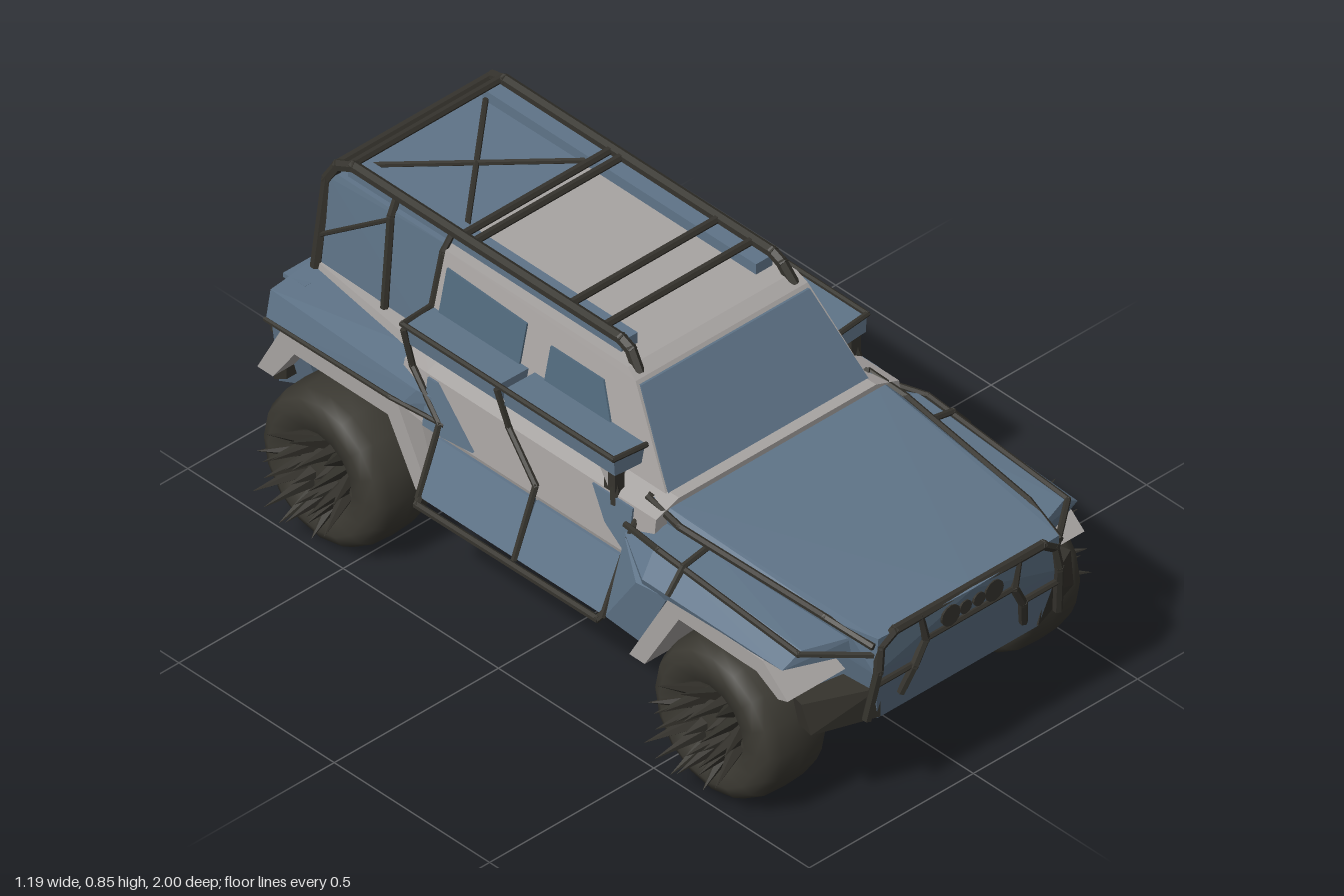
import * as THREE from 'three';
import { ConvexGeometry } from 'three/addons/geometries/ConvexGeometry.js';
import { mergeGeometries } from 'three/addons/utils/BufferGeometryUtils.js';

const mat = (color, flatShading = true) => new THREE.MeshStandardMaterial({ color, flatShading });
const blue = mat(0x5f7488), glass = mat(0x50687b), grey = mat(0xa8a4a2), dark = mat(0x35332d), under = mat(0x3c4a56);
const rubber = mat(0x3b3932, false);
const V = (p) => new THREE.Vector3(...p);
const flip = ([x, y, z]) => [-x, y, z];

export function createModel() {
  const g = new THREE.Group();
  const add = (name, geo, m) => {
    const mesh = new THREE.Mesh(geo, m);
    mesh.name = name;
    g.add(mesh);
  };
  // Convex panel; sym: one hull spanning both sides, pair: one hull on each side
  const hull = (name, pts, m) => add(name, new ConvexGeometry(pts.map(V)), m);
  const sym = (name, pts, m) => hull(name, [...pts, ...pts.map(flip)], m);
  const pair = (name, pts, m) => {
    hull(name + 'Left', pts, m);
    hull(name + 'Right', pts.map(flip), m);
  };
  const box = (name, w, h, d, x, y, z, m) => add(name, new THREE.BoxGeometry(w, h, d).translate(x, y, z), m);
  // Straight rod between two points, optionally tapered
  const rod = (a, b, r0, r1 = r0, n = 6) => {
    const A = V(a), B = V(b), d = B.clone().sub(A), len = d.length();
    const q = new THREE.Quaternion().setFromUnitVectors(new THREE.Vector3(0, 1, 0), d.normalize());
    const mid = A.add(B).multiplyScalar(0.5);
    return new THREE.CylinderGeometry(r1, r0, len + r1, n).applyQuaternion(q).translate(mid.x, mid.y, mid.z);
  };
  const pipe = (name, pts, r = 0.009) =>
    add(name, mergeGeometries(pts.slice(1).map((p, i) => rod(pts[i], p, r))), dark);
  const pipes = (name, pts, r) => {
    pipe(name + 'Left', pts, r);
    pipe(name + 'Right', pts.map(flip), r);
  };
  // Half width of the cabin and doors at a given height
  const profile = [[0.27, 0.452], [0.41, 0.388], [0.55, 0.37], [0.57, 0.309], [0.80, 0.257]];
  const sideX = (y) => {
    let i = 0;
    while (i < profile.length - 2 && y > profile[i + 1][0]) i++;
    const [y0, x0] = profile[i], [y1, x1] = profile[i + 1];
    return x0 + (x1 - x0) * (y - y0) / (y1 - y0);
  };
  // Thin plate lying on the side wall, from [z, y] corners
  const plate = (name, zy, m) =>
    pair(name, zy.flatMap(([z, y]) => [[sideX(y) + 0.005, y, z], [sideX(y) - 0.01, y, z]]), m);
  const seam = (name, zy) => pipes(name, zy.map(([z, y, out = 0.004]) => [sideX(y) + out, y, z]), 0.008);

  // Hood, nose and chassis
  sym('hood', [[0.275, 0.51, 0.985], [0.28, 0.41, 0.98], [0.245, 0.255, 0.95], [0.30, 0.515, 0.9], [0.34, 0.55, 0.38],
    [0.33, 0.565, 0.32], [0.33, 0.46, 0.32], [0.26, 0.24, 0.4], [0, 0.515, 1.0]], blue);
  sym('skidPlate', [[0.23, 0.25, 0.92], [0.23, 0.213, 0.42], [0.32, 0.22, 0.3], [0.23, 0.28, 0.92], [0.32, 0.27, 0.3]], grey);
  sym('floor', [[0.30, 0.222, 0.32], [0.28, 0.24, -0.8], [0.30, 0.3, 0.32], [0.28, 0.45, -0.8]], under);

  // Passenger body and cabin
  sym('doors', [0.37, -0.37].flatMap((z) =>
    [[0.33, 0.225 + (0.37 - z) * 0.03, z], [0.35, 0.27, z], [0.385, 0.42, z], [0.37, 0.55, z], [0.30, 0.575, z]]), grey);
  sym('rearQuarter', [[0.385, 0.42, -0.36], [0.37, 0.55, -0.36], [0.30, 0.575, -0.36],
    [0.375, 0.42, -0.46], [0.35, 0.53, -0.46], [0.30, 0.56, -0.46]], grey);
  sym('cabin', [[0.311, 0.56, 0.345], [0.257, 0.80, 0.16], [0.262, 0.78, 0.19], [0.257, 0.80, -0.44], [0.311, 0.56, -0.44]], grey);
  sym('windshield', [[0.308, 0.56, 0.351], [0.257, 0.772, 0.202], [0.30, 0.56, 0.335], [0.253, 0.77, 0.18]], blue);
  sym('rearCanopy', [[0.268, 0.5, -0.43], [0.245, 0.803, -0.435], [0.242, 0.80, -0.79], [0.245, 0.78, -0.815], [0.26, 0.5, -0.835]], blue);
  sym('canopySill', [[0.315, 0.545, -0.43], [0.262, 0.545, -0.835], [0.325, 0.5, -0.43], [0.27, 0.5, -0.84]], grey);
  for (const s of [1, -1]) box('roofSidePlate', 0.05, 0.045, 0.88, s * 0.205, 0.806, -0.33, blue);
  plate('frontWindow', [[0.17, 0.60], [0.10, 0.74], [-0.07, 0.74], [-0.07, 0.60]], glass);
  plate('rearWindow', [[-0.15, 0.62], [-0.15, 0.755], [-0.41, 0.765], [-0.41, 0.62]], glass);
  plate('doorPatch', [[0.30, 0.42], [0.30, 0.545], [0.17, 0.545], [0.22, 0.47]], blue);
  plate('rearDoorPatch', [[-0.30, 0.42], [-0.2, 0.43], [-0.33, 0.545], [-0.36, 0.545], [-0.36, 0.42]], blue);

  // Armour along the doors
  for (const [name, a, b] of [['frontLowerArmour', 0.285, 0.004], ['rearLowerArmour', -0.004, -0.31]])
    pair(name, [a, b].flatMap((z) => [[0.39, 0.41, z], [0.45, 0.28, z], [0.34, 0.27, z], [0.36, 0.41, z]]), blue);
  for (const [name, a, b] of [['frontLedge', 0.25, -0.105], ['rearLedge', -0.125, -0.43]])
    pair(name, [a, b].flatMap((z) => [[0.275, 0.655, z], [0.385, 0.657, z], [0.382, 0.612, z], [0.29, 0.605, z]]), blue);
  pipes('ledgeRail', [[0.29, 0.655, 0.255], [0.386, 0.66, 0.25], [0.386, 0.66, -0.43], [0.28, 0.655, -0.44]], 0.007);
  pair('ledgeBracket', [[0.29, 0.61, 0.22], [0.375, 0.61, 0.22], [0.375, 0.565, 0.22], [0.33, 0.565, 0.22],
    [0.29, 0.61, 0.19], [0.375, 0.61, 0.19], [0.33, 0.565, 0.19]], grey);
  for (const s of [1, -1]) box('mirror', 0.03, 0.05, 0.035, s * 0.36, 0.58, 0.225, dark);
  pipes('mirrorArm', [[0.36, 0.6, 0.225], [0.37, 0.53, 0.24]], 0.012);
  pipes('sideStep', [[0.40, 0.30, 0.29], [0.465, 0.275, 0.28], [0.465, 0.27, -0.30], [0.40, 0.30, -0.33]], 0.009);
  seam('frontDoorSeam', [[0.31, 0.565], [0.305, 0.5], [0.285, 0.41], [0.285, 0.28]]);
  seam('middleDoorSeam', [[-0.12, 0.65, 0.1], [-0.10, 0.55], [0, 0.45], [0, 0.28]]);
  seam('rearDoorSeam', [[-0.42, 0.65, 0.1], [-0.41, 0.55], [-0.31, 0.45], [-0.31, 0.28]]);

  // Fenders, with a grey trapezoid arch over each wheel
  const arch = (name, zy, x0, x1) => {
    const shape = new THREE.Shape(zy.map(([z, y]) => new THREE.Vector2(-z, y)));
    for (const x of [x0, -x1])
      add(name, new THREE.ExtrudeGeometry(shape, { depth: x1 - x0, bevelEnabled: false }).rotateY(Math.PI / 2).translate(x, 0, 0), grey);
  };
  arch('frontArch', [[0.88, 0.37], [0.80, 0.44], [0.50, 0.45], [0.37, 0.22], [0.42, 0.22], [0.53, 0.405], [0.78, 0.40], [0.85, 0.36]], 0.27, 0.452);
  arch('rearArch', [[-0.32, 0.24], [-0.43, 0.45], [-0.80, 0.45], [-0.88, 0.30], [-0.83, 0.30], [-0.76, 0.40], [-0.46, 0.40], [-0.37, 0.24]], 0.26, 0.402);
  pair('frontFender', [[0.26, 0.48, 0.92], [0.40, 0.48, 0.87], [0.45, 0.445, 0.86], [0.26, 0.43, 0.92], [0.43, 0.43, 0.84],
    [0.28, 0.53, 0.33], [0.40, 0.515, 0.40], [0.46, 0.46, 0.42], [0.39, 0.48, 0.29], [0.45, 0.43, 0.41], [0.30, 0.43, 0.3]], blue);
  pair('fenderTail', [[0.45, 0.44, 0.49], [0.46, 0.44, 0.40], [0.39, 0.47, 0.29], [0.45, 0.28, 0.29], [0.44, 0.26, 0.395],
    [0.33, 0.44, 0.48], [0.33, 0.26, 0.39], [0.33, 0.26, 0.29], [0.33, 0.46, 0.29]], blue);
  pair('rearFender', [[0.25, 0.53, -0.86], [0.39, 0.525, -0.85], [0.405, 0.445, -0.85], [0.25, 0.44, -0.86],
    [0.39, 0.505, -0.38], [0.40, 0.45, -0.42], [0.375, 0.50, -0.31], [0.375, 0.45, -0.33], [0.26, 0.52, -0.33], [0.26, 0.44, -0.33]], blue);
  pipes('hoodRail', [[0.285, 0.49, 0.975], [0.31, 0.515, 0.85], [0.345, 0.545, 0.42], [0.335, 0.56, 0.31]], 0.009);
  pipes('fenderRail', [[0.28, 0.46, 0.97], [0.41, 0.475, 0.87], [0.41, 0.515, 0.42], [0.385, 0.5, 0.29]], 0.008);
  pipes('fenderBrace', [[0.33, 0.53, 0.5], [0.41, 0.515, 0.5], [0.455, 0.46, 0.5]], 0.008);
  pipes('rearFenderRail', [[0.385, 0.45, -0.30], [0.405, 0.455, -0.45], [0.405, 0.45, -0.85]], 0.006);

  // Front bumper, bull bar and lamps
  pair('frontBumper', [[0.24, 0.26, 0.955], [0.25, 0.35, 0.965], [0.41, 0.34, 0.88], [0.40, 0.26, 0.90],
    [0.22, 0.26, 0.88], [0.22, 0.35, 0.88], [0.40, 0.34, 0.84], [0.39, 0.26, 0.85]], dark);
  const bar = [[0.29, 0.29, 0.965], [0.275, 0.42, 0.985], [0.265, 0.48, 0.98], [0.225, 0.51, 0.985]];
  pipe('bullBar', [...bar, ...bar.map(flip).reverse()], 0.012);
  pipes('bullBarStrut', [[0.185, 0.31, 0.965], [0.165, 0.38, 0.985], [0.135, 0.44, 0.988], [0.15, 0.51, 0.985]], 0.011);
  pipes('bullBarSide', [[0.17, 0.38, 0.98], [0.28, 0.38, 0.98]], 0.008);
  pipe('bullBarCross', [[-0.14, 0.44, 0.988], [0.14, 0.44, 0.988]], 0.008);
  for (const [x, r] of [[-0.067, 0.028], [-0.022, 0.018], [0.02, 0.018], [0.065, 0.028]])
    add('lamp', new THREE.CylinderGeometry(r, r * 0.8, 0.03, 12).rotateX(Math.PI / 2).translate(x, 0.475, 0.985), dark);

  // Rear end, bumper and tow hitch
  box('tailgate', 0.62, 0.095, 0.06, 0, 0.468, -0.833, grey);
  box('tailgateShelf', 0.66, 0.012, 0.07, 0, 0.521, -0.838, blue);
  box('tailgateHandle', 0.30, 0.022, 0.03, 0, 0.49, -0.865, dark);
  sym('rearValance', [[0.37, 0.43, -0.87], [0.34, 0.23, -0.875], [0.36, 0.43, -0.80], [0.30, 0.24, -0.79]], blue);
  sym('rearBumper', [[0.38, 0.33, -0.85], [0.38, 0.27, -0.85], [0.29, 0.335, -0.92], [0.29, 0.265, -0.92], [0.36, 0.33, -0.83], [0.36, 0.27, -0.83]], dark);
  for (const s of [1, -1]) box('tailLight', 0.05, 0.06, 0.025, s * 0.33, 0.40, -0.875, dark);
  box('hitchBar', 0.03, 0.03, 0.13, 0, 0.25, -0.935, dark);
  box('hitchMount', 0.09, 0.05, 0.06, 0, 0.25, -0.89, dark);
  add('hitchBall', new THREE.SphereGeometry(0.013, 8, 6).translate(0, 0.28, -0.985), dark);

  // Roof cage
  pipes('cageRail', [[0.235, 0.785, 0.17], [0.23, 0.825, 0.14], [0.23, 0.838, 0.11], [0.23, 0.838, -0.75],
    [0.235, 0.82, -0.795], [0.24, 0.77, -0.825], [0.262, 0.52, -0.84]], 0.014);
  for (const z of [0.05, -0.06, -0.37, -0.405, -0.76]) pipe('cageCross', [[-0.23, 0.838, z], [0.23, 0.838, z]], 0.01);
  pipe('cageRearCross', [[-0.235, 0.818, -0.80], [0.235, 0.818, -0.80]], 0.012);
  pipes('roofBrace', [[0.18, 0.812, -0.44], [-0.17, 0.812, -0.75]], 0.007);
  pipes('cagePost', [[0.235, 0.825, -0.61], [0.25, 0.79, -0.61], [0.272, 0.52, -0.61]], 0.01);
  pipes('cageFrontPost', [[0.235, 0.83, -0.43], [0.258, 0.79, -0.435], [0.31, 0.56, -0.44]], 0.008);
  pipes('cageSideBrace', [[0.25, 0.78, -0.61], [0.258, 0.62, -0.83]], 0.006);
  pipes('rearBrace', [[0.23, 0.78, -0.818], [0.12, 0.64, -0.828], [0.06, 0.52, -0.836]], 0.007);

  // Wheels with spiked hubs
  const tyre = [[0, -0.06], [0.09, -0.07], [0.11, -0.095], [0.155, -0.101], [0.182, -0.088], [0.197, -0.06], [0.2, 0],
    [0.197, 0.06], [0.182, 0.088], [0.155, 0.101], [0.11, 0.095], [0.095, 0.07], [0.06, 0.08], [0, 0.08]].map(([r, y]) => new THREE.Vector2(r, y));
  const spikes = [];
  for (const [n, r0, r1, tip, turn] of [[9, 0.075, 0.132, 0.185, 0], [9, 0.065, 0.085, 0.208, 0.35], [6, 0.045, 0.045, 0.17, 0.1]])
    for (let i = 0; i < n; i++) {
      const a = turn + i / n * Math.PI * 2, c = Math.cos(a), s = Math.sin(a), t = tip - (i % 3) * 0.014;
      spikes.push(rod([0.07, r0 * c, r0 * s], [t, r1 * c, r1 * s], 0.02, 0.0005, 5));
    }
  const spikeGeo = mergeGeometries(spikes);
  const tyreGeo = new THREE.LatheGeometry(tyre, 16).rotateZ(-Math.PI / 2);
  for (const z of [0.66, -0.6])
    for (const s of [1, -1]) {
      const wheel = new THREE.Group();
      wheel.name = (z > 0 ? 'front' : 'rear') + 'Wheel' + (s > 0 ? 'Left' : 'Right');
      [['tyre', tyreGeo, rubber], ['hubSpikes', spikeGeo, dark]].forEach(([name, geo, m]) => {
        const mesh = new THREE.Mesh(geo, m);
        mesh.name = name;
        wheel.add(mesh);
      });
      wheel.position.set(s * 0.387, 0.2, z);
      if (s < 0) wheel.rotation.y = Math.PI;
      g.add(wheel);
    }
  return g;
}
